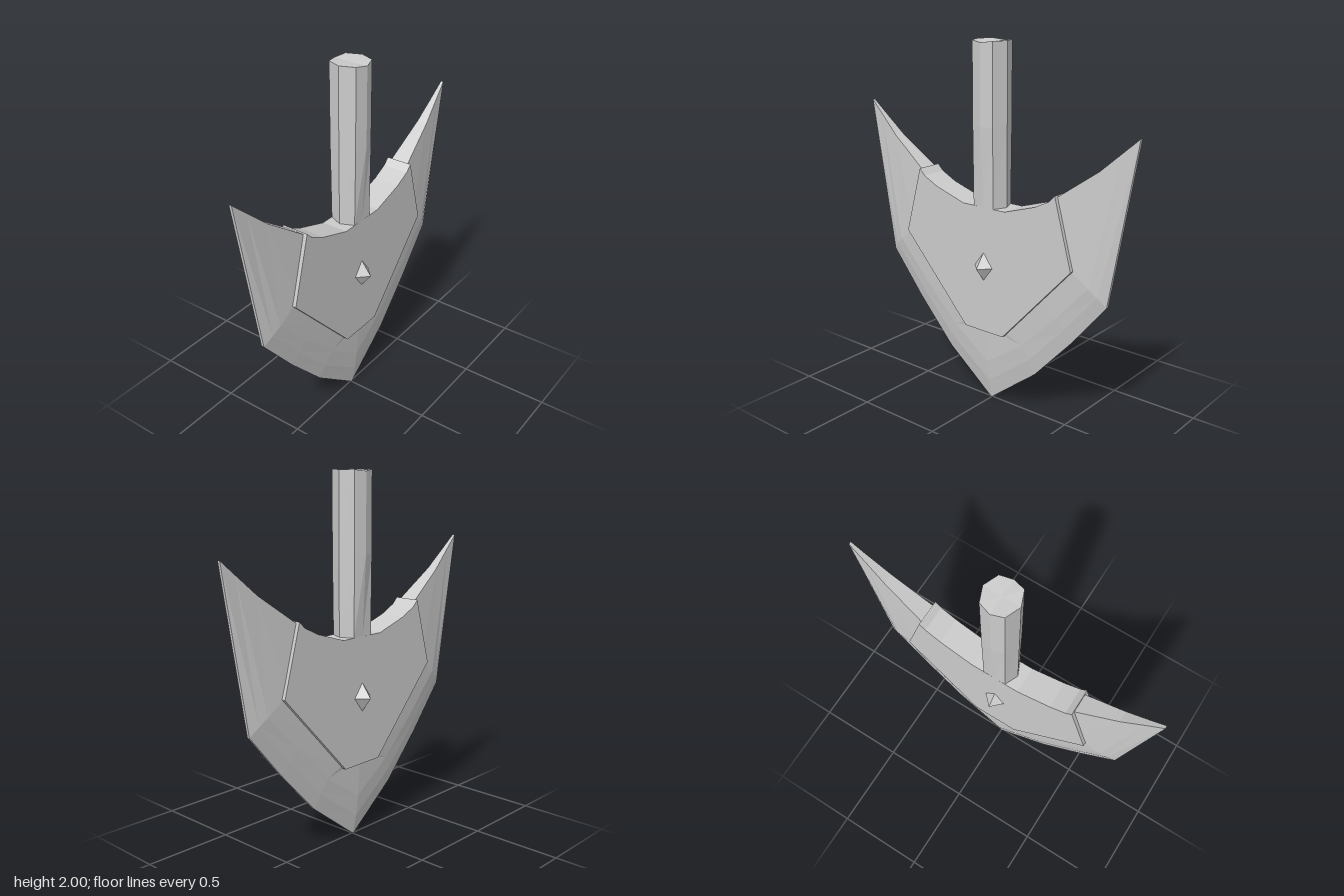
import * as THREE from 'three';

const material = new THREE.MeshStandardMaterial({ color: 0xcccccc, flatShading: true });

// Blade sections, from the horn round to the bottom point; each runs from the edge inward
const bladeSections = [
  [[0.88, 1.61, 0.008], [0.8, 1.538, 0.016], [0.68, 1.43, 0.03], [0.42, 1.245, 0.057]],
  [[0.735, 0.74, 0.008], [0.69, 0.79, 0.03], [0.645, 0.83, 0.044], [0.53, 0.92, 0.057]],
  [[0.53, 0.49, 0.008], [0.495, 0.56, 0.03], [0.455, 0.62, 0.044], [0.35, 0.7, 0.057]],
  [[0.3, 0.24, 0.008], [0.275, 0.325, 0.03], [0.235, 0.405, 0.044], [0.12, 0.46, 0.057]],
  [[0, 0.005, 0.008], [0, 0.12, 0.03], [0, 0.24, 0.044], [0, 0.46, 0.057]],
];

function createMesh(name, geometry) {
  const mesh = new THREE.Mesh(geometry, material);
  mesh.name = name;
  return mesh;
}

function fromTriangles(positions) {
  const geometry = new THREE.BufferGeometry();
  geometry.setAttribute('position', new THREE.Float32BufferAttribute(positions, 3));
  geometry.computeVertexNormals();
  return geometry;
}

// Half of the blade on one side: both faces, the thin cutting edge and the top wall
function bladeGeometry(side) {
  const out = [];
  const quad = (a, b, c, d, flip) => {
    const order = flip ? [a, c, b, a, d, c] : [a, b, c, a, c, d];
    order.forEach(p => out.push(...p));
  };
  const at = (i, j, face) => {
    const [x, y, z] = bladeSections[i][j];
    return [x * side, y, z * face];
  };
  for (let i = 0; i < 4; i++) {
    for (let j = 0; j < 3; j++) {
      for (const face of [1, -1]) {
        quad(at(i, j, face), at(i, j + 1, face), at(i + 1, j + 1, face), at(i + 1, j, face), side * face < 0);
      }
    }
    quad(at(i, 0, 1), at(i + 1, 0, 1), at(i + 1, 0, -1), at(i, 0, -1), side < 0);
  }
  for (let j = 0; j < 3; j++) {
    quad(at(0, j, 1), at(0, j, -1), at(0, j + 1, -1), at(0, j + 1, 1), side < 0);
  }
  return fromTriangles(out);
}

// Thick central plate standing proud of both blade faces
function plateGeometry() {
  const half = [[0.13, 0.435], [0.56, 0.905], [0.455, 1.28], [0.42, 1.245], [0.33, 1.2], [0.14, 1.14]];
  const mirrored = half.map(([x, y]) => [-x, y]).reverse();
  const shape = new THREE.Shape([...half, ...mirrored].map(p => new THREE.Vector2(...p)));
  const geometry = new THREE.ExtrudeGeometry(shape, { depth: 0.15, bevelEnabled: false });
  geometry.translate(0, 0, -0.075);
  return geometry;
}

// Eight-sided shaft that flattens toward the plate, with a shallow crease across its top
function shaftGeometry() {
  const ring = (y, middle, shoulder, dip) => [
    [0, y - dip, middle], [0.066, y, shoulder], [0.098, y, 0], [0.066, y, -shoulder],
    [0, y - dip, -middle], [-0.066, y, -shoulder], [-0.098, y, 0], [-0.066, y, shoulder],
  ];
  const rings = [ring(1.14, 0.075, 0.074, 0), ring(1.57, 0.098, 0.079, 0), ring(2, 0.098, 0.079, 0.008)];
  const out = [];
  const tri = (...points) => points.forEach(p => out.push(...p));
  for (let k = 0; k < 8; k++) {
    const n = (k + 1) % 8;
    for (let r = 0; r < 2; r++) {
      const low = rings[r], high = rings[r + 1];
      tri(low[k], low[n], high[n]);
      tri(low[k], high[n], high[k]);
    }
    tri(rings[2][k], rings[2][n], [0, 1.992, 0]);
    tri(rings[0][n], rings[0][k], [0, 1.14, 0]);
  }
  return fromTriangles(out);
}

// Diamond stud: a four-sided pyramid pointing out of one plate face
function studGeometry(face) {
  const geometry = new THREE.ConeGeometry(1, 0.065, 4);
  geometry.rotateX(face * Math.PI / 2);
  geometry.scale(0.064, 0.085, 1);
  geometry.translate(0, 0.81, face * 0.1025);
  return geometry;
}

export function createModel() {
  const model = new THREE.Group();
  model.name = 'broadBlade';
  model.add(
    createMesh('leftBlade', bladeGeometry(1)),
    createMesh('rightBlade', bladeGeometry(-1)),
    createMesh('centralPlate', plateGeometry()),
    createMesh('shaft', shaftGeometry()),
    createMesh('frontStud', studGeometry(1)),
    createMesh('backStud', studGeometry(-1)),
  );
  return model;
}
